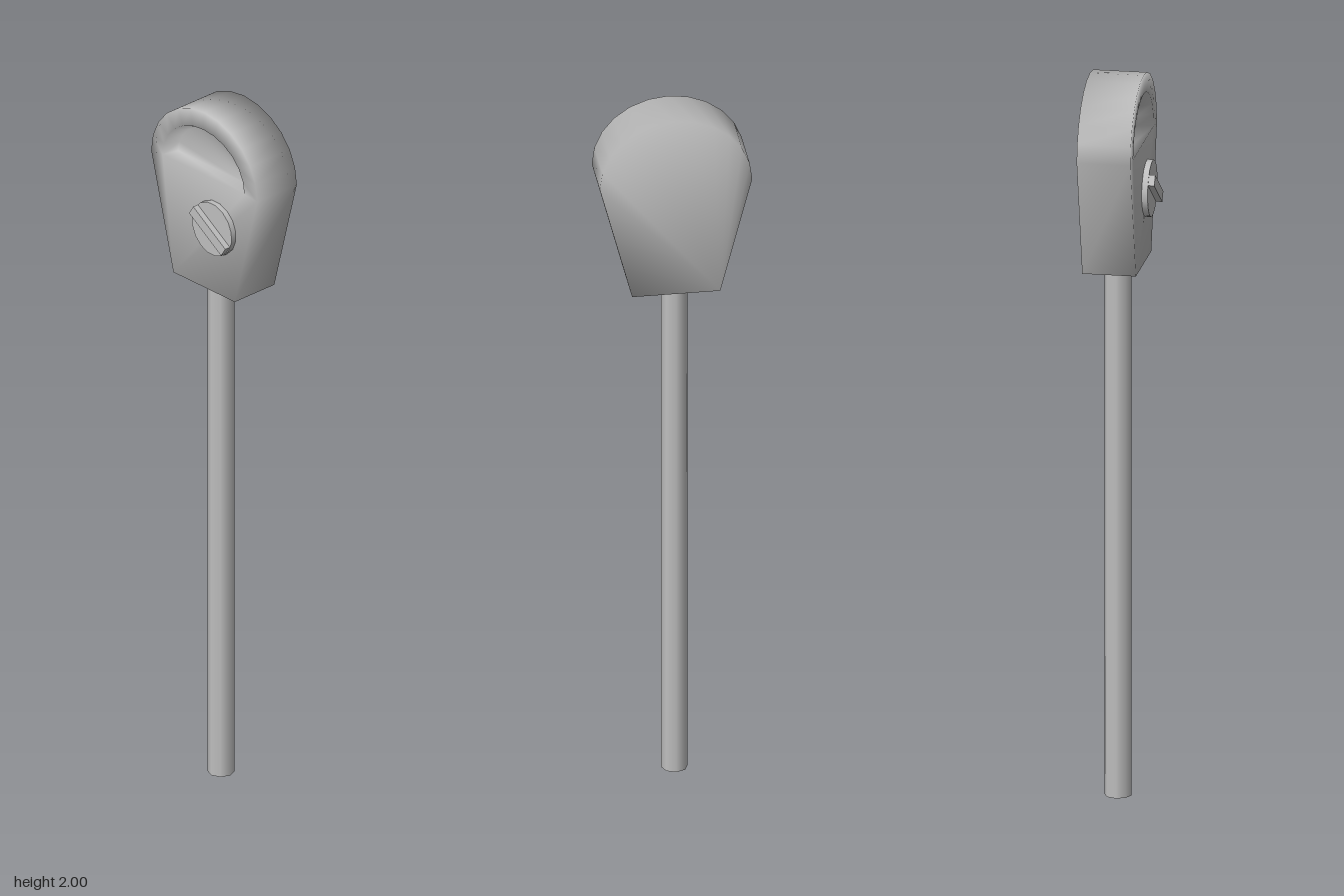
import * as THREE from 'three';

const SEG = 12; // segments in each arch
const SPRING_Y = 1.81; // height where the arch meets the tapered body

// Half-ellipse running from right to left over the top
function arch(cx, cy, rx, ry, z) {
  return Array.from({ length: SEG + 1 }, (_, i) => {
    const a = (Math.PI * i) / SEG;
    return [cx + rx * Math.cos(a), cy + ry * Math.sin(a), z];
  });
}

// Tapered, arched housing with a recessed window, smooth-shaded throughout
function headGeometry() {
  const front = [...arch(-0.003, SPRING_Y, 0.205, 0.19, 0.055), [-0.122, 1.477, 0.055], [0.115, 1.477, 0.055]];
  const back = front.map(([x, y]) => [x, y, -0.09]);
  const rim = arch(-0.006, SPRING_Y + 0.004, 0.158, 0.134, 0.055);
  const floor = arch(-0.006, SPRING_Y + 0.008, 0.14, 0.112, 0.015);
  const points = [...front, ...back, ...rim, ...floor];

  const n = front.length;
  const m = SEG + 1;
  const H = 2 * n;
  const F = H + m;
  const index = [];
  const fan = (...p) => {
    for (let i = 1; i < p.length - 1; i++) index.push(p[0], p[i], p[i + 1]);
  };

  // Outer wall, including the underside
  for (let i = 0; i < n; i++) {
    const j = (i + 1) % n;
    fan(i, i + n, j + n, j);
  }
  // Arch band around the window
  for (let i = 0; i < SEG; i++) fan(i, i + 1, H + i + 1, H + i);
  // Recess wall and floor
  for (let i = 0; i < m; i++) {
    const j = (i + 1) % m;
    fan(H + j, F + j, F + i, H + i);
  }
  fan(...floor.map((_, i) => F + i));
  // Front plate below the window
  fan(SEG + 1, SEG + 2, 0, H, H + SEG, SEG);
  // Back face
  fan(...back.map((_, i) => n + ((SEG + 1 - i + n) % n)));

  const g = new THREE.BufferGeometry();
  g.setAttribute('position', new THREE.Float32BufferAttribute(points.flat(), 3));
  g.setIndex(index);
  g.computeVertexNormals();
  return g;
}

export function createModel() {
  const model = new THREE.Group();
  model.name = 'parkingMeter';
  const grey = new THREE.MeshStandardMaterial({ color: 0xbfbfbf });
  grey.name = 'grey metal';

  const add = (name, geometry, parent = model) => {
    const mesh = new THREE.Mesh(geometry, grey);
    mesh.name = name;
    parent.add(mesh);
    return mesh;
  };

  // Post
  add('post', new THREE.CylinderGeometry(0.036, 0.036, 1.48, 8)).position.set(-0.01, 0.74, -0.013);

  // Housing
  add('head', headGeometry());

  // Coin knob with its slanted grip bar
  const knob = new THREE.Group();
  knob.name = 'knob';
  knob.position.set(0.043, 1.674, 0.055);
  knob.rotation.z = -0.58;
  model.add(knob);
  const disc = add('knobDisc', new THREE.CylinderGeometry(0.077, 0.077, 0.018, 16), knob);
  disc.rotation.x = Math.PI / 2;
  disc.position.z = 0.007;
  add('knobBar', new THREE.BoxGeometry(0.148, 0.03, 0.02), knob).position.z = 0.023;

  return model;
}
